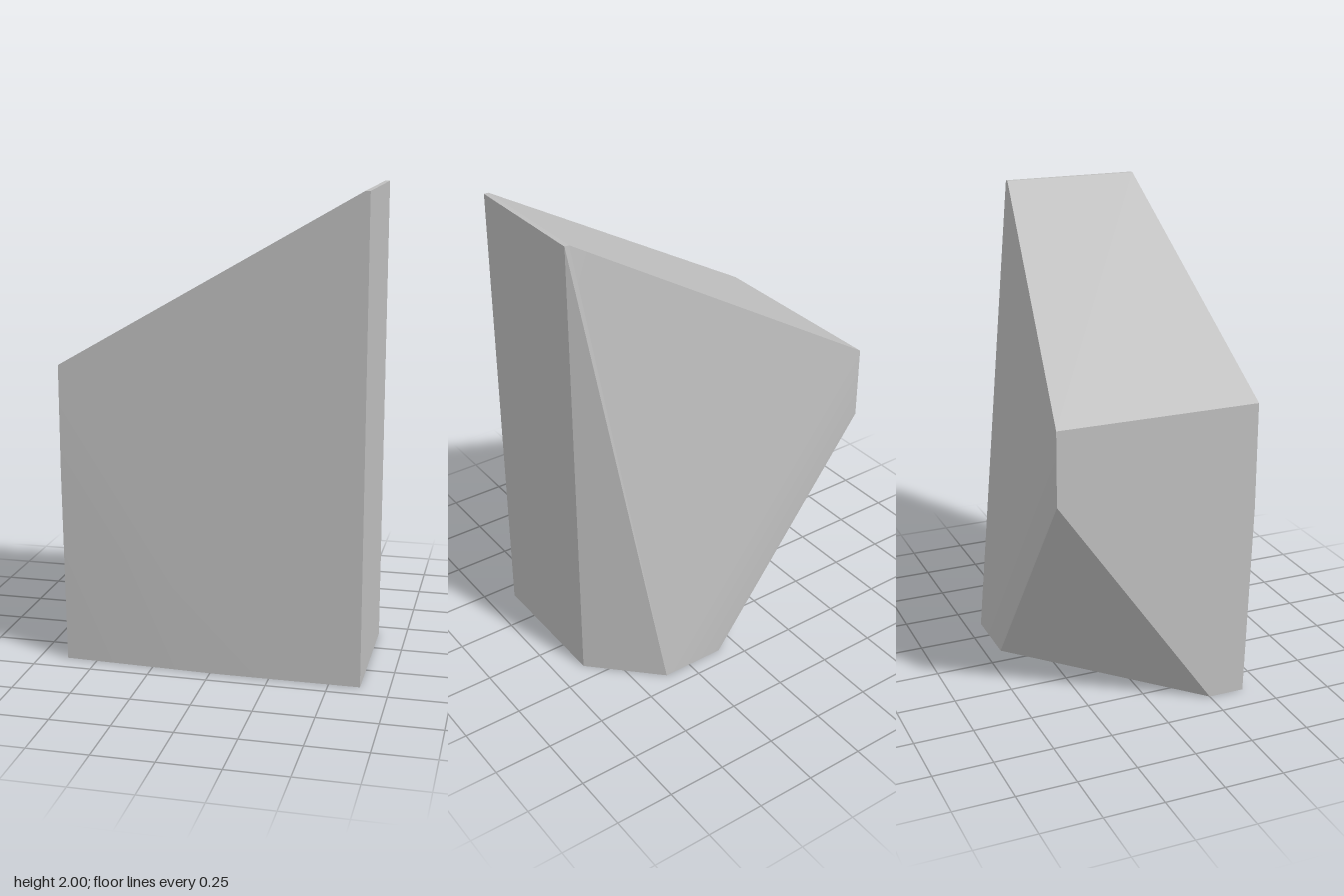
import * as THREE from 'three';

// Corners of the cut block
const P = {
  backLowTop: [-0.63, 1.28, -0.43],
  frontLowTop: [-0.63, 1.28, 0.43],
  backPeak: [0.61, 2, -0.17],
  backPeakEdge: [0.63, 2, -0.17],
  frontPeak: [0.61, 2, 0.43],
  frontPeakEdge: [0.63, 2, 0.43],
  notchTop: [-0.63, 0.97, -0.43],
  notchBack: [0.09, 0, -0.43],
  notchFront: [-0.63, 0, 0.25],
  cornerFoot: [-0.63, 0, 0.405],
  cornerTop: [-0.63, 0.83, 0.43],
  cornerSide: [0.03, 0, 0.43],
  frontFoot: [0.63, 0, 0.43],
  sideFoot: [0.63, 0, -0.17],
  backFoot: [0.37, 0, -0.43],
};
const CENTRE = new THREE.Vector3(0, 0.85, 0.05);

// Convex polygons fanned into triangles that face away from the centre
function facets(polygons, smooth) {
  const names = [...new Set(polygons.flat())];
  const index = [];
  for (const poly of polygons) {
    for (let i = 1; i < poly.length - 1; i++) {
      const tri = [poly[0], poly[i], poly[i + 1]];
      const [a, b, c] = tri.map((n) => new THREE.Vector3(...P[n]));
      const normal = b.clone().sub(a).cross(c.clone().sub(a));
      if (normal.dot(a.clone().sub(CENTRE)) < 0) tri.reverse();
      index.push(...tri.map((n) => names.indexOf(n)));
    }
  }
  let geometry = new THREE.BufferGeometry();
  geometry.setAttribute('position', new THREE.Float32BufferAttribute(names.flatMap((n) => P[n]), 3));
  geometry.setIndex(index);
  if (!smooth) geometry = geometry.toNonIndexed();
  geometry.computeVertexNormals();
  return geometry;
}

export function createModel() {
  const group = new THREE.Group();
  group.name = 'cutStoneBlock';
  const stone = new THREE.MeshStandardMaterial({ color: 0xbfbfbf });
  stone.name = 'stone grey';

  const add = (name, polygons, smooth = false) => {
    const mesh = new THREE.Mesh(facets(polygons, smooth), stone);
    mesh.name = name;
    group.add(mesh);
  };

  // Front, with its slightly shaved lower corner
  add('frontFace', [
    ['frontLowTop', 'cornerTop', 'cornerSide', 'frontFoot', 'frontPeakEdge', 'frontPeak'],
    ['cornerTop', 'cornerFoot', 'cornerSide'],
  ], true);

  // Sloping top and its narrow flat ridge
  add('slopedTop', [['backLowTop', 'frontLowTop', 'frontPeak', 'backPeak']]);
  add('topRidge', [['backPeak', 'frontPeak', 'frontPeakEdge', 'backPeakEdge']]);

  // Tall and short sides
  add('tallSide', [['frontFoot', 'sideFoot', 'backPeakEdge', 'frontPeakEdge']]);
  add('shortSide', [['backLowTop', 'notchTop', 'notchFront', 'cornerFoot', 'cornerTop', 'frontLowTop']]);

  // Back, softly bent along its diagonal
  add('backFace', [
    ['backLowTop', 'backPeak', 'backFoot'],
    ['backLowTop', 'backFoot', 'notchBack', 'notchTop'],
  ], true);

  // Chamfers at the back corners
  add('tallChamfer', [['backPeak', 'backPeakEdge', 'backFoot'], ['backPeakEdge', 'sideFoot', 'backFoot']]);
  add('lowerChamfer', [['notchTop', 'notchBack', 'notchFront']]);

  // Underside
  add('base', [['backFoot', 'sideFoot', 'frontFoot', 'cornerSide', 'cornerFoot', 'notchFront', 'notchBack']]);

  return group;
}
